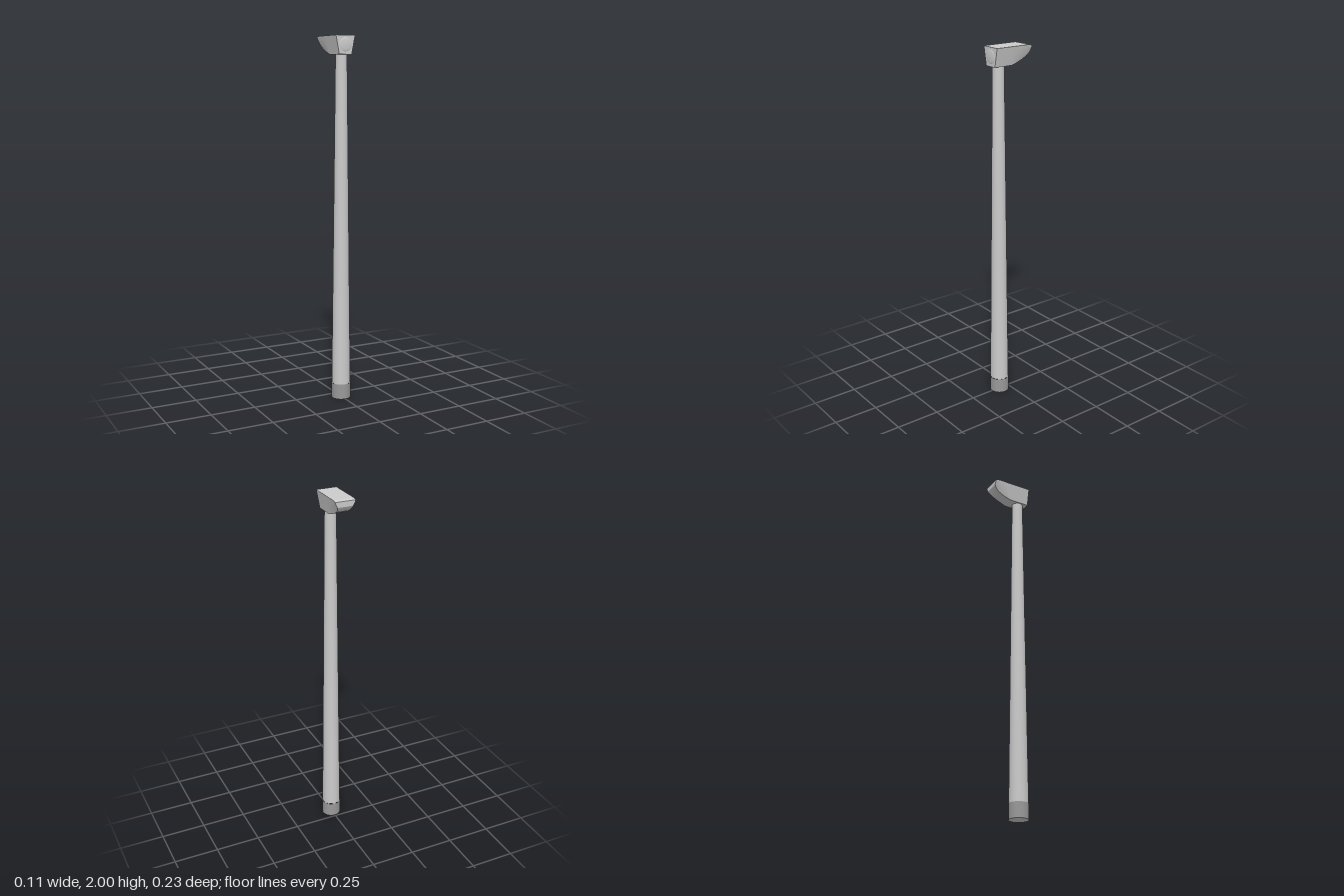
import * as THREE from 'three';
import { toCreasedNormals } from 'three/addons/utils/BufferGeometryUtils.js';

const POLE_Z = 0.061;

function addMesh(parent, name, geometry, color = 0xcccccc) {
  const mesh = new THREE.Mesh(geometry, new THREE.MeshStandardMaterial({ color }));
  mesh.name = name;
  parent.add(mesh);
  return mesh;
}

// Skin closed rings (counter-clockwise seen from +z, listed front to back) and cap both ends
function loft(rings) {
  const n = rings[0].length;
  const index = [];
  for (let r = 0; r < rings.length - 1; r++) {
    for (let i = 0; i < n; i++) {
      const a = r * n + i, b = r * n + (i + 1) % n;
      index.push(a, a + n, b, b, a + n, b + n);
    }
  }
  const last = (rings.length - 1) * n;
  for (let i = 1; i < n - 1; i++) {
    index.push(0, i, i + 1, last, last + i + 1, last + i);
  }
  const geometry = new THREE.BufferGeometry();
  geometry.setAttribute('position', new THREE.Float32BufferAttribute(rings.flat(2), 3));
  geometry.setIndex(index);
  return toCreasedNormals(geometry, 0.5);
}

export function createModel() {
  const model = new THREE.Group();

  // Tapered handle and the darker band at its foot
  const handle = addMesh(model, 'handle', new THREE.CylinderGeometry(0.031, 0.052, 1.835, 32), 0xcccccc);
  handle.position.set(0, 0.085 + 1.835 / 2, POLE_Z);
  const band = addMesh(model, 'handleEnd', new THREE.CylinderGeometry(0.053, 0.0535, 0.085, 32, 1, true), 0x999999);
  band.position.set(0, 0.0425, POLE_Z);
  const cap = addMesh(model, 'handleBottom', new THREE.CircleGeometry(0.0535, 32));
  cap.rotation.x = Math.PI / 2;
  cap.position.z = POLE_Z;

  // Head: wide flat top, sloping cheeks and an underside rising to the back lip
  // Each section: z, top y, cheek edge y, bottom y, bottom half width
  const sections = [
    [0.11, 2.0, 1.904, 1.9, 0.037],
    [0.0, 2.0, 1.908, 1.9, 0.037],
    [-0.022, 2.0, 1.928, 1.906, 0.035],
    [-0.045, 2.0, 1.951, 1.914, 0.034],
    [-0.065, 2.0, 1.966, 1.923, 0.034],
    [-0.09, 2.0, 1.978, 1.936, 0.035],
    [-0.108, 1.998, 1.984, 1.953, 0.04],
    [-0.116, 1.995, 1.986, 1.966, 0.044],
  ];
  const rings = sections.map(([z, top, edge, bottom, w]) => {
    const e = 0.037 + 0.2 * (edge - 1.9);
    return [
      [0.057, top, z], [-0.057, top, z], [-e, edge, z],
      [-w, bottom, z], [w, bottom, z], [e, edge, z],
    ];
  });
  addMesh(model, 'head', loft(rings));

  // Low round striking face on the front
  const dome = [[0.037, 0], [0.034, 0.002], [0.022, 0.0035], [0, 0.0045]]
    .map(([r, h]) => new THREE.Vector2(r, h));
  const face = addMesh(model, 'strikingFace', new THREE.LatheGeometry(dome, 32));
  face.rotation.x = Math.PI / 2;
  face.position.set(0, 1.952, 0.11);

  return model;
}
